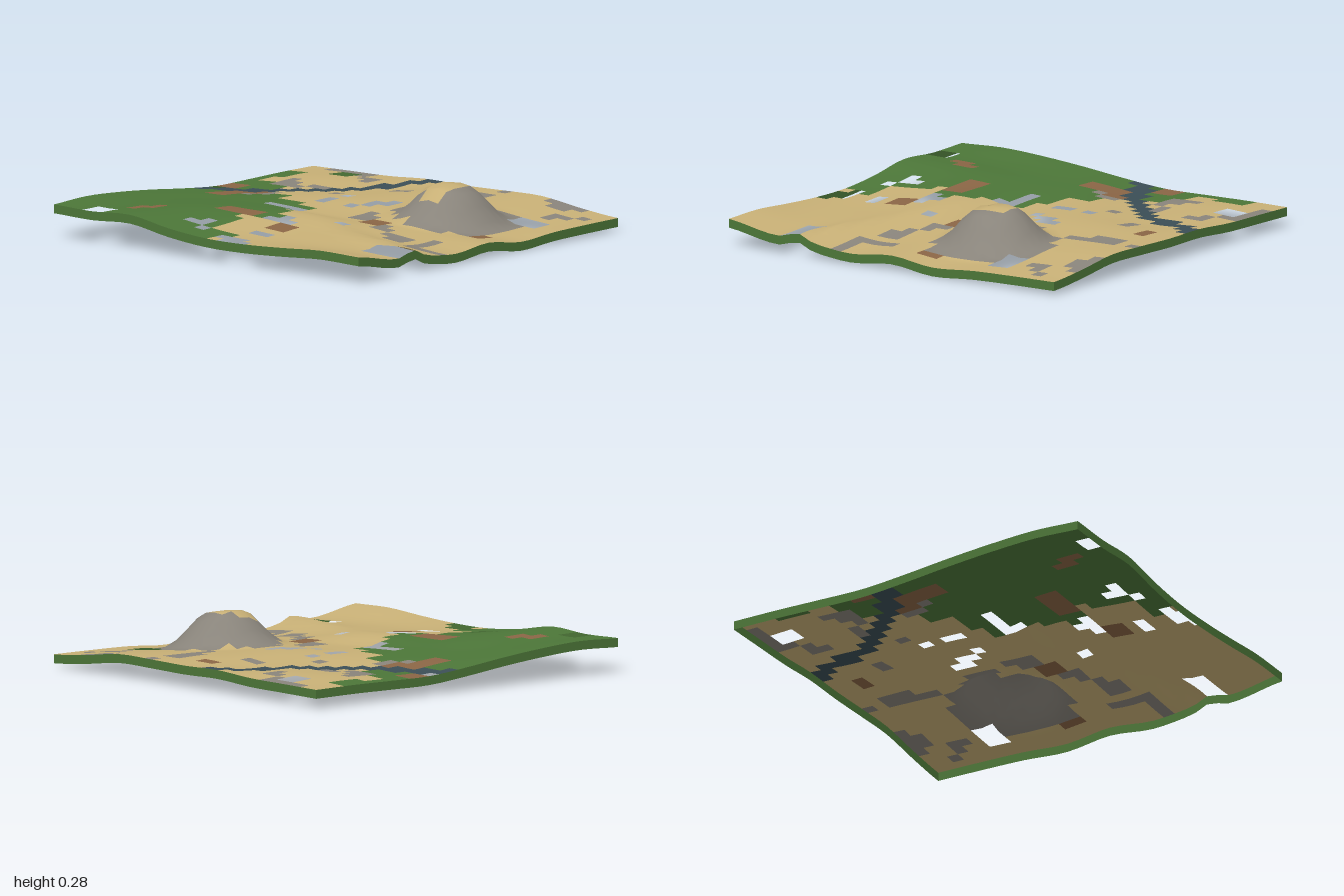
import * as THREE from 'three';

const N = 32;              // terrain cells per side
const CELL = 2 / N;
const SKIRT = 0.045;       // depth of the border strip

const flat = (name, color) => {
  const m = new THREE.MeshStandardMaterial({ color, side: THREE.DoubleSide });
  m.name = name;
  return m;
};

// Coarse heights: rows run from back to front, columns from x = -1 to x = 1
const HEIGHTS = [
  [.100, .103, .106, .120, .116, .120, .121, .090, .067],
  [.102, .115, .115, .108, .128, .122, .112, .085, .066],
  [.100, .110, .105, .118, .132, .120, .100, .075, .062],
  [.100, .105, .120, .130, .132, .120, .095, .070, .048],
  [.122, .127, .132, .128, .118, .110, .100, .085, .078],
  [.150, .142, .147, .148, .150, .130, .100, .075, .056],
  [.172, .158, .167, .158, .145, .125, .115, .100, .080],
  [.185, .167, .176, .150, .125, .112, .108, .105, .096],
  [.177, .171, .182, .143, .120, .119, .130, .145, .140],
];

// Smooth interpolation through evenly spaced values
function spline(v, t) {
  const k = Math.min(Math.floor(t), v.length - 2), f = t - k;
  const at = (n) => v[THREE.MathUtils.clamp(n, 0, v.length - 1)];
  const [a, b, c, d] = [at(k - 1), at(k), at(k + 1), at(k + 2)];
  return b + 0.5 * f * (c - a + f * (2 * a - 5 * b + 4 * c - d + f * (3 * (b - c) + d - a)));
}

const bell = (d, width) => Math.exp(-((d / width) ** 2));

// Rolling ground, a slanting ridge, a shallow gully and one flat-topped rocky hill
function height(x, z) {
  const { smoothstep } = THREE.MathUtils;
  const ground = spline(HEIGHTS.map((row) => spline(row, (x + 1) * 4)), (z + 1) * 4);
  const ridge = (0.012 + 0.023 * smoothstep(x, 0.3, 1)) * smoothstep(x, -0.1, 0.3)
    * bell(z - 0.28 - 0.3 * x, 0.065);
  const gully = 0.015 * bell(x, 0.25) * bell(z - 0.12, 0.07);
  const r = Math.hypot(x - 0.515, z + 0.29);
  return ground + ridge - gully + 0.178 * (1 - smoothstep(r, 0.08, 0.31));
}

// Patches as [first column, end column, first row, end row]
const MEADOW_EDGE = [9, 9, 12, 14, 14, 13, 14, 15, 15, 16, 15, 13, 14, 14, 14, 14, 17, 16, 16]; // rows 13 to 31
const MEADOW_WEST = [[0, 2, 3, 6], [0, 1, 6, 8], [0, 3, 8, 9], [0, 5, 9, 12]];
const OUTCROPS = [
  [2, 7, 0, 1], [5, 7, 1, 2], [7, 9, 2, 3], [8, 9, 3, 4], [3, 4, 6, 7], [3, 5, 7, 8], [3, 6, 8, 9],
  [6, 8, 7, 8], [10, 11, 9, 10], [13, 15, 5, 6], [20, 21, 0, 1], [19, 21, 2, 5], [20, 21, 5, 7],
  [25, 29, 0, 1], [26, 28, 1, 2], [30, 31, 2, 3], [28, 30, 3, 4], [28, 29, 4, 5],
  [18, 20, 15, 17], [18, 19, 14, 15], [22, 23, 17, 18], [22, 24, 18, 19], [24, 27, 19, 20],
  [25, 27, 20, 21], [28, 29, 18, 21], [28, 32, 21, 22], [6, 7, 12, 14], [5, 6, 14, 15],
];
const HILL_ROCK = [
  [23, 27, 6, 7], [21, 27, 7, 8], [21, 29, 8, 9], [20, 29, 9, 10], [19, 29, 10, 13],
  [20, 29, 13, 14], [21, 29, 14, 15], [23, 27, 15, 16],
];
const HILL_TOP = [[23, 25, 10, 11], [22, 25, 11, 13], [23, 25, 13, 14]];
const DIRT = [
  [0, 2, 10, 12], [3, 5, 13, 17], [5, 6, 12, 14], [10, 14, 22, 24], [17, 19, 24, 26], [20, 22, 16, 18],
  [15, 17, 2, 3], [29, 30, 13, 15], [6, 7, 26, 27], [5, 7, 27, 28], [5, 6, 28, 29],
];
const RIVER = [
  [12, 14, 0, 1], [11, 13, 1, 2], [11, 12, 2, 3], [10, 12, 3, 5], [10, 11, 5, 6], [9, 11, 6, 7],
  [8, 10, 7, 8], [7, 9, 8, 9], [6, 8, 9, 10], [5, 7, 10, 11], [3, 6, 11, 12], [1, 5, 12, 13],
  [0, 3, 13, 14], [0, 1, 14, 15],
];
const HOLES = [
  [4, 6, 1, 3], [12, 13, 10, 11], [12, 13, 12, 14], [17, 18, 10, 11], [16, 18, 11, 12], [16, 17, 12, 13],
  [15, 16, 13, 14], [27, 30, 6, 8], [0, 1, 12, 13], [10, 14, 17, 18], [13, 14, 18, 19], [20, 21, 20, 21],
  [16, 17, 22, 23], [15, 18, 23, 24], [28, 32, 25, 27], [12, 13, 27, 28], [11, 13, 28, 29],
  [13, 14, 29, 30], [17, 19, 27, 28], [3, 5, 30, 32], [16, 19, 30, 31], [17, 20, 31, 32],
];

// Decide what covers each cell; later layers replace earlier ones
function paintCells() {
  const cells = new Array(N * N).fill('sand');
  const paint = (kind, patches) => patches.forEach(([i0, i1, j0, j1]) => {
    for (let j = j0; j < j1; j++) for (let i = i0; i < i1; i++) cells[j * N + i] = kind;
  });
  paint('meadow', MEADOW_WEST);
  paint('meadow', MEADOW_EDGE.map((end, k) => [0, end, 13 + k, 14 + k]));
  paint('rock', OUTCROPS);
  paint('rock', HILL_ROCK);
  paint('sand', HILL_TOP);
  paint('dirt', DIRT);
  paint('river', RIVER);
  paint('hole', HOLES);
  return cells;
}

export function createModel() {
  const model = new THREE.Group();
  model.name = 'terrainTile';
  const materials = {
    sand: flat('sand', 0xc8b076),
    meadow: flat('grass green', 0x4c7638),
    rock: flat('rock grey', 0x89847b),
    dirt: flat('dirt brown', 0x8a6545),
    river: flat('river blue', 0x3b4e56),
  };

  // Vertex grid and smooth normals shared by every ground cover
  const positions = [], whole = [];
  for (let j = 0; j <= N; j++) for (let i = 0; i <= N; i++) {
    const x = i * CELL - 1, z = j * CELL - 1;
    positions.push(x, height(x, z), z);
  }
  const faces = Object.fromEntries(Object.keys(materials).map((k) => [k, []]));
  paintCells().forEach((kind, n) => {
    const a = Math.floor(n / N) * (N + 1) + (n % N), b = a + 1, c = a + N + 1, d = c + 1;
    const quad = [a, c, b, b, c, d];
    whole.push(...quad);
    if (kind !== 'hole') faces[kind].push(...quad);
  });
  const grid = new THREE.BufferGeometry();
  grid.setAttribute('position', new THREE.Float32BufferAttribute(positions, 3));
  grid.setIndex(whole);
  grid.computeVertexNormals();

  // One mesh for each ground cover
  for (const [kind, index] of Object.entries(faces)) {
    const g = new THREE.BufferGeometry();
    g.setAttribute('position', grid.attributes.position);
    g.setAttribute('normal', grid.attributes.normal);
    g.setIndex(index);
    const mesh = new THREE.Mesh(g, materials[kind]);
    mesh.name = kind;
    model.add(mesh);
  }

  // Border strips hanging from the four edges, corners in outward order
  const corners = [[-1, 1], [1, 1], [1, -1], [-1, -1]];
  ['front', 'right', 'back', 'left'].forEach((side, s) => {
    const [x0, z0] = corners[s], [x1, z1] = corners[(s + 1) % 4];
    const pos = [], index = [];
    for (let i = 0; i <= N; i++) {
      const x = x0 + (x1 - x0) * i / N, z = z0 + (z1 - z0) * i / N, y = height(x, z);
      pos.push(x, y, z, x, y - SKIRT, z);
      const a = 2 * i;
      if (i < N) index.push(a, a + 1, a + 2, a + 2, a + 1, a + 3);
    }
    const g = new THREE.BufferGeometry();
    g.setAttribute('position', new THREE.Float32BufferAttribute(pos, 3));
    g.setIndex(index);
    g.computeVertexNormals();
    const strip = new THREE.Mesh(g, materials.meadow);
    strip.name = side + 'Border';
    model.add(strip);
  });

  return model;
}
